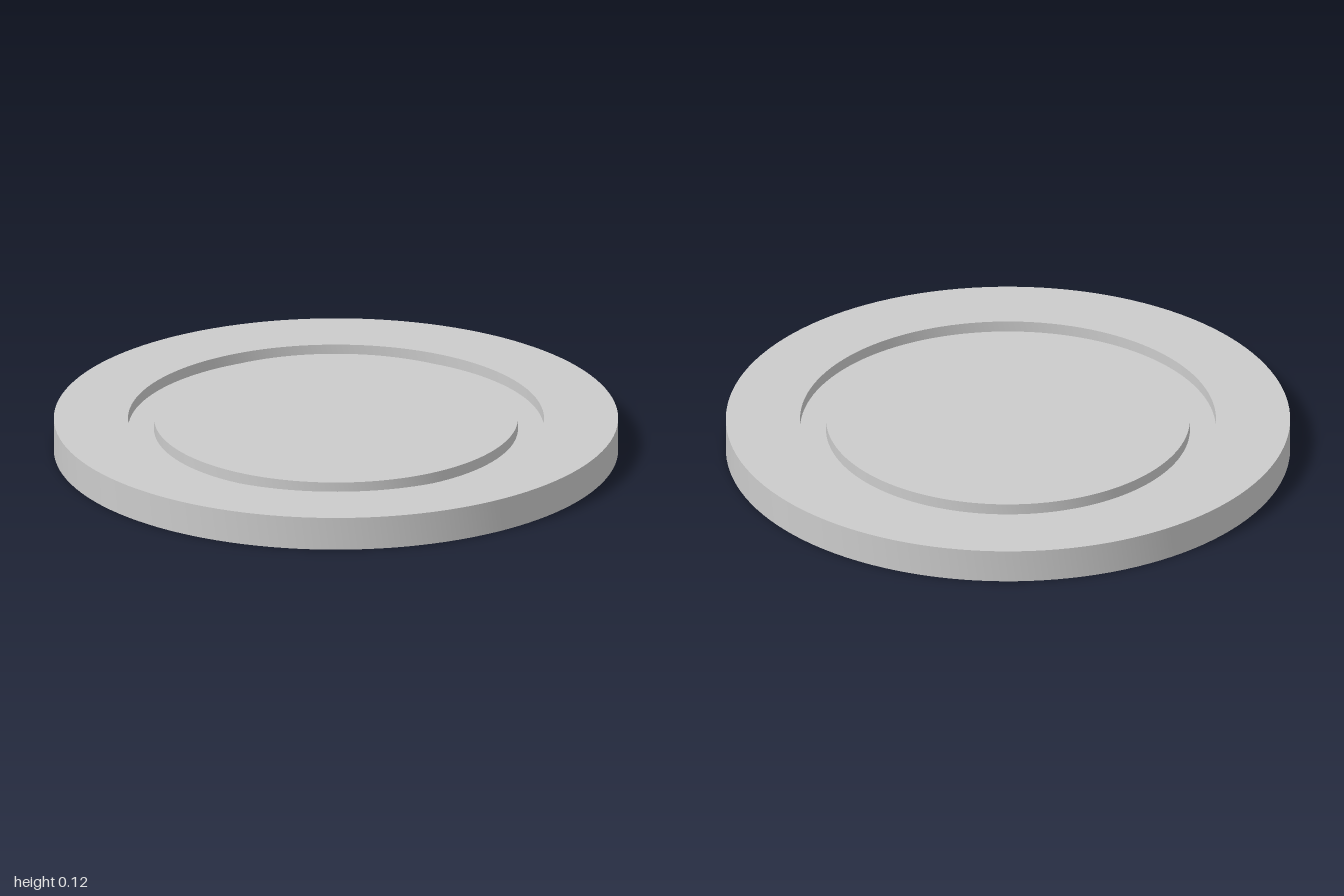
import * as THREE from 'three';
import { toCreasedNormals } from 'three/addons/utils/BufferGeometryUtils.js';

const HEIGHT = 0.12;
const RIM_RADIUS = 1;
const GROOVE_OUTER = 0.737;
const GROOVE_INNER = 0.645;
const GROOVE_DEPTH = 0.04;
const SEGMENTS = 128;

export function createModel() {
  const group = new THREE.Group();
  group.name = 'disc';

  // Underside profile from the axis outwards: centre plate, groove, rim
  const underside = [
    [0, 0],
    [GROOVE_INNER, 0],
    [GROOVE_INNER, GROOVE_DEPTH],
    [GROOVE_OUTER, GROOVE_DEPTH],
    [GROOVE_OUTER, 0],
    [RIM_RADIUS, 0],
  ].map(([r, y]) => new THREE.Vector2(r, y));

  // The top carries the same groove, mirrored, and runs back to the axis
  const topside = underside.map((p) => new THREE.Vector2(p.x, HEIGHT - p.y)).reverse();

  const lathe = new THREE.LatheGeometry([...underside, ...topside], SEGMENTS);
  const body = new THREE.Mesh(
    toCreasedNormals(lathe, Math.PI / 6),
    new THREE.MeshStandardMaterial({ color: 0xcccccc })
  );
  body.name = 'groovedDisc';
  group.add(body);

  return group;
}
